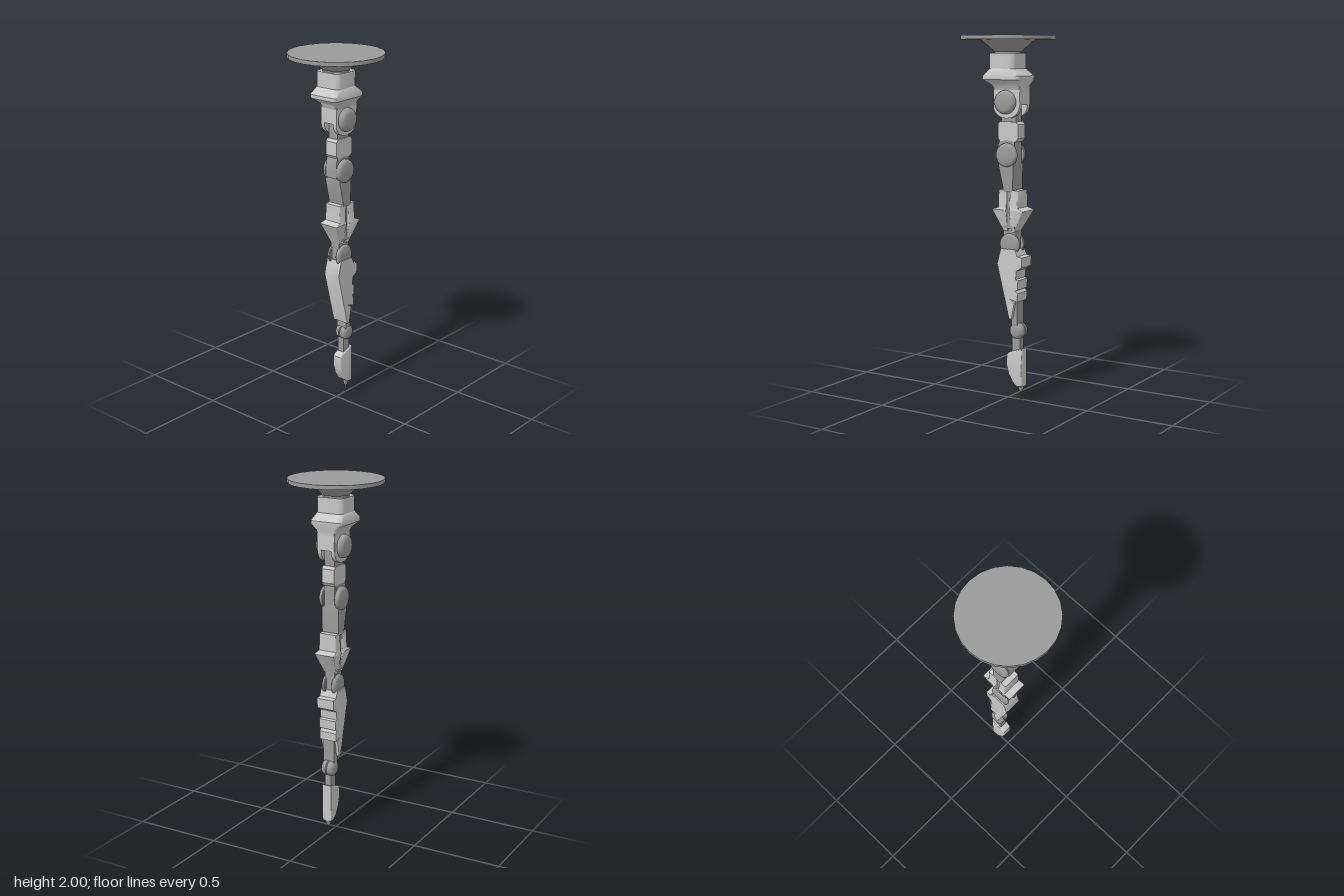
import * as THREE from 'three';
import { toCreasedNormals } from 'three/addons/utils/BufferGeometryUtils.js';

export function createModel() {
  const model = new THREE.Group();
  const light = new THREE.MeshStandardMaterial({ name: 'lightGrey', color: 0xc8c8c8 });
  const dark = new THREE.MeshStandardMaterial({ name: 'darkGrey', color: 0x9a9a9a });

  const add = (name, geometry, material, x = 0, y = 0, z = 0) => {
    const mesh = new THREE.Mesh(geometry, material);
    mesh.name = name;
    mesh.position.set(x, y, z);
    model.add(mesh);
    return mesh;
  };

  // Box given by its limits in y and z, centred on x
  const bar = (name, material, halfX, y0, y1, z0, z1) =>
    add(name, new THREE.BoxGeometry(halfX * 2, y1 - y0, Math.abs(z1 - z0)), material, 0, (y0 + y1) / 2, (z0 + z1) / 2);

  // Side outline of [z, y] points, extruded across x from x0 to x1
  const plate = (name, material, points, x0, x1, bevel = 0) => {
    const shape = new THREE.Shape(points.map(([z, y]) => new THREE.Vector2(-z, y)));
    const geometry = new THREE.ExtrudeGeometry(shape, {
      depth: x1 - x0 - 2 * bevel, bevelEnabled: bevel > 0, bevelSize: bevel,
      bevelThickness: bevel, bevelOffset: -bevel, bevelSegments: 3,
    });
    geometry.translate(0, 0, x0 + bevel).rotateY(Math.PI / 2);
    return add(name, toCreasedNormals(geometry, 0.6), material);
  };

  // Rounded-rectangle sections [y, halfX, halfZ, centreZ, cornerRadius], from bottom to top
  const loft = (name, material, sections) => {
    const pos = [], index = [], steps = 4, n = 4 * (steps + 1);
    for (const [y, hx, hz, cz, r] of sections) {
      for (let q = 0; q < 4; q++) {
        for (let s = 0; s <= steps; s++) {
          const a = (q + s / steps) * Math.PI / 2;
          const sx = q === 0 || q === 3 ? 1 : -1, sz = q < 2 ? 1 : -1;
          pos.push(sx * (hx - r) + r * Math.cos(a), y, cz + sz * (hz - r) + r * Math.sin(a));
        }
      }
    }
    for (let k = 0; k < sections.length - 1; k++) {
      for (let i = 0; i < n; i++) {
        const a = k * n + i, b = k * n + (i + 1) % n;
        index.push(a, a + n, b, b, a + n, b + n);
      }
    }
    const top = (sections.length - 1) * n;
    for (let i = 1; i < n - 1; i++) {
      index.push(0, i, i + 1, top, top + i + 1, top + i);
    }
    const geometry = new THREE.BufferGeometry();
    geometry.setAttribute('position', new THREE.Float32BufferAttribute(pos, 3));
    geometry.setIndex(index);
    return add(name, toCreasedNormals(geometry, 0.6), material);
  };

  // Mirrored pair of round-edged caps on a joint axis
  const joint = (name, y, z, radius, inner, outer) => {
    const e = Math.min(0.022, (outer - inner) * 0.6);
    const profile = [[0, inner], [radius - 0.004, inner], [radius, inner + 0.004], [radius, outer - e],
      [radius - e * 0.15, outer - e * 0.5], [radius - e * 0.5, outer - e * 0.15], [radius - e, outer], [0, outer]];
    const geometry = toCreasedNormals(
      new THREE.LatheGeometry(profile.map(([r, h]) => new THREE.Vector2(r, h)), 28), 0.7);
    for (const side of [-1, 1]) {
      const cap = add(name + (side > 0 ? 'Left' : 'Right'), geometry, dark, 0, y, z);
      cap.rotation.z = -side * Math.PI / 2;
    }
  };

  // Mounting disc and its conical flange
  add('mountDisc', new THREE.CylinderGeometry(0.258, 0.258, 0.022, 24), dark, 0, 1.989, 0);
  add('mountFlange', new THREE.CylinderGeometry(0.15, 0.075, 0.066, 24), dark, 0, 1.947, 0);
  add('mountNeck', new THREE.CylinderGeometry(0.072, 0.072, 0.03, 24), dark, 0, 1.905, 0);

  // Neck and flared collar
  loft('neck', light, [[1.8, 0.08, 0.08, 0, 0.03], [1.905, 0.08, 0.08, 0, 0.03]]);
  loft('collar', light, [
    [1.71, 0.055, 0.085, -0.025, 0.02], [1.735, 0.065, 0.09, -0.02, 0.02],
    [1.765, 0.092, 0.118, -0.003, 0.025], [1.785, 0.093, 0.118, -0.003, 0.025],
    [1.815, 0.084, 0.086, 0, 0.03], [1.823, 0.08, 0.08, 0, 0.03],
  ]);

  // Shoulder block with two rounded cheeks around the first link
  bar('shoulderBlock', light, 0.05, 1.63, 1.73, 0.06, -0.108);
  const cheek = [[0.06, 1.73], [0.06, 1.62]];
  for (let i = 1; i < 10; i++) {
    const a = Math.PI * i / 10;
    cheek.push([-0.022 + 0.082 * Math.cos(a), 1.62 - 0.062 * Math.sin(a)]);
  }
  cheek.push([-0.104, 1.62], [-0.108, 1.73]);
  for (const x of [0.03, -0.053]) plate('shoulderCheek', light, cheek, x, x + 0.023);
  joint('shoulderCap', 1.645, -0.02, 0.064, 0.032, 0.084);

  // First link with its block
  bar('upperLink', dark, 0.03, 1.34, 1.63, 0.022, -0.068);
  plate('upperBlock', light, [[0.04, 1.525], [0.028, 1.54], [-0.073, 1.54], [-0.086, 1.525],
    [-0.086, 1.45], [-0.072, 1.432], [-0.02, 1.44], [0.027, 1.432], [0.04, 1.45]], -0.038, 0.038);
  plate('middleKnuckle', dark, [[0.025, 1.445], [-0.065, 1.445], [-0.065, 1.325], [0.042, 1.325], [0.042, 1.41]], -0.037, 0.037);
  joint('middleCap', 1.36, -0.02, 0.065, 0.035, 0.063);

  // Tapered link
  plate('taperedLink', dark, [[0.03, 1.31], [0.02, 1.35], [-0.06, 1.35], [-0.065, 1.31],
    [-0.06, 1.16], [-0.005, 1.16]], -0.051, 0.051);

  // Forearm core with flared front and back guards
  bar('forearmCore', dark, 0.043, 0.96, 1.17, 0.0, -0.07);
  const guards = [
    ['frontGuard', [[1.17, 0.03], [1.075, 0.03], [1.062, 0.068], [0.945, 0.008]], -0.021],
    ['backGuard', [[1.17, -0.095], [1.075, -0.095], [1.06, -0.133], [0.94, -0.064]], -0.041],
  ];
  for (const [name, rows, inner] of guards) {
    const widths = [0.05, 0.054, 0.06, 0.037];
    loft(name, light, rows.map(([y, z], i) =>
      [y, widths[i], Math.abs(z - inner) / 2, (z + inner) / 2, 0.006]).reverse());
  }

  // Elbow
  bar('elbowLink', dark, 0.029, 0.84, 0.97, 0.01, -0.07);
  joint('elbowCap', 0.87, -0.03, 0.061, 0.02, 0.043);

  // Lower arm shell with a stepped back and a hollow lower fork
  plate('lowerArmShell', light, [[0.015, 0.847], [-0.075, 0.847], [-0.09, 0.81], [-0.12, 0.805],
    [-0.117, 0.75], [-0.085, 0.73], [-0.08, 0.683], [-0.095, 0.678], [-0.092, 0.625], [-0.08, 0.62],
    [-0.092, 0.605], [-0.09, 0.558], [-0.04, 0.572], [-0.072, 0.553], [-0.053, 0.46],
    [-0.038, 0.46], [0.038, 0.762]], -0.051, 0.051);
  bar('lowerArmRod', dark, 0.034, 0.38, 0.58, -0.045, -0.08);

  // Wrist
  joint('wristCap', 0.39, -0.07, 0.044, 0.0, 0.039);
  bar('wristRod', dark, 0.02, 0.27, 0.37, -0.04, -0.09);

  // Finger, nozzle and needle
  plate('finger', light, [[-0.108, 0.295], [-0.02, 0.265], [-0.006, 0.25], [-0.006, 0.19], [-0.02, 0.14],
    [-0.045, 0.097], [-0.075, 0.075], [-0.106, 0.078]], -0.029, 0.029, 0.008);
  add('nozzle', new THREE.CylinderGeometry(0.018, 0.011, 0.03, 16), dark, 0, 0.064, -0.085);
  add('needle', new THREE.CylinderGeometry(0.004, 0.003, 0.06, 10), dark, 0, 0.03, -0.085);

  return model;
}
